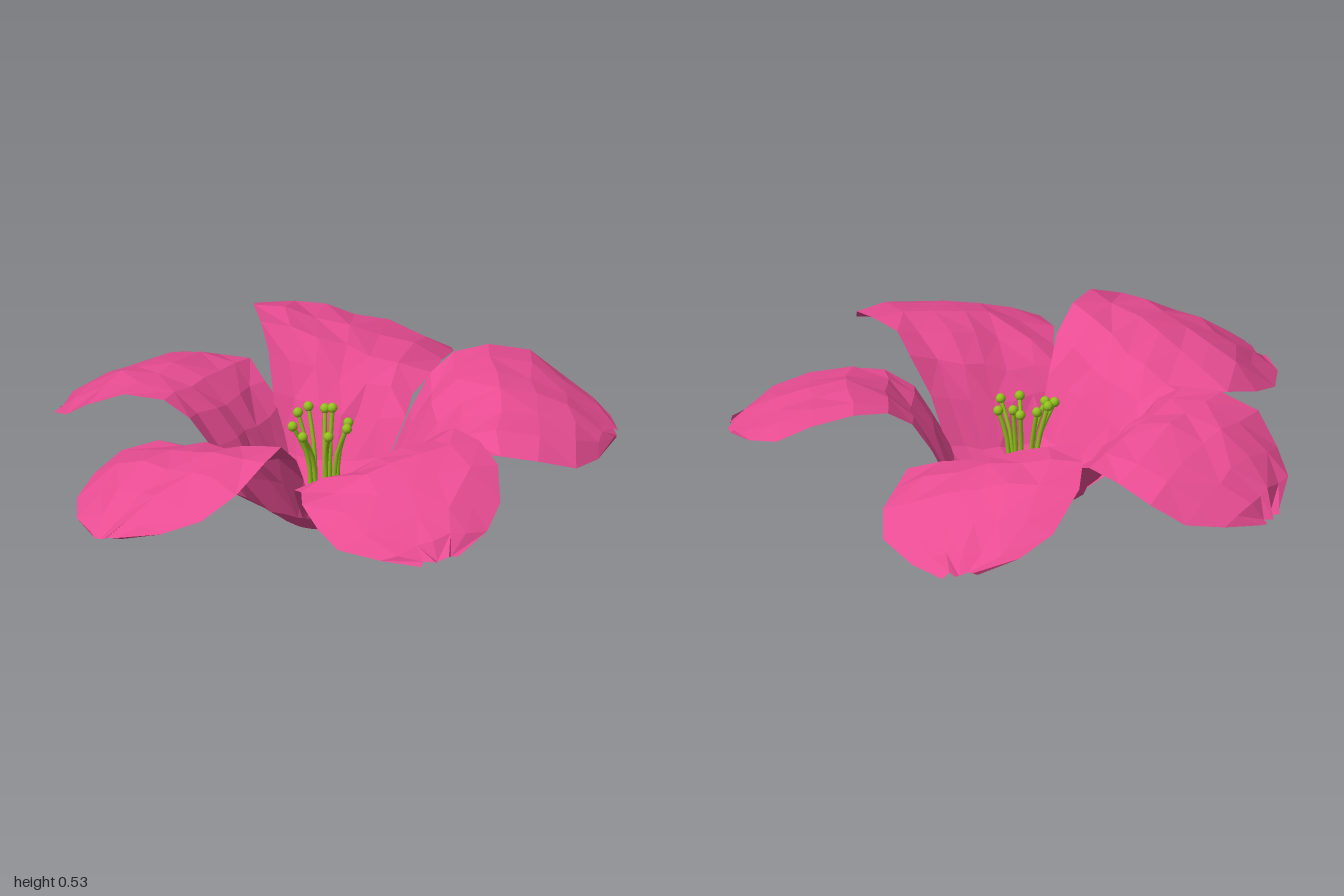
import * as THREE from 'three';

const PINK = new THREE.MeshStandardMaterial({ color: 0xe84c92, flatShading: true, side: THREE.DoubleSide });
const GREEN = new THREE.MeshStandardMaterial({ color: 0x93c01f });

// Petal stations from base to tip: [distance out, height, half width, tilt, droop]
const STATIONS = [
  [0.00, 0.01, 0.03, 0.00, 0.00],
  [0.14, 0.035, 0.12, 0.00, -0.02],
  [0.25, 0.12, 0.19, 0.01, -0.03],
  [0.33, 0.27, 0.235, 0.03, -0.03],
  [0.40, 0.375, 0.265, 0.06, -0.02],
  [0.50, 0.45, 0.30, 0.08, 0.00],
  [0.63, 0.485, 0.335, 0.08, 0.04],
  [0.77, 0.465, 0.35, 0.07, 0.06],
  [0.90, 0.405, 0.30, 0.05, 0.06],
  [1.00, 0.34, 0.20, 0.03, 0.03],
  [1.06, 0.29, 0.07, 0.01, 0.00],
];

// Each petal: heading in degrees (from +x towards +z), length scale, tilt scale, tip drop
const PETALS = [
  [-114, 0.97, 0.5, 0.06],
  [-45, 1.03, 1.0, 0.04],
  [33.5, 0.96, 0.8, -0.04],
  [104, 1.0, 0.9, 0.0],
  [171.5, 1.015, 1.0, 0.01],
];

// Small repeatable variation in -1..1
function wobble(n) {
  const s = Math.sin(n * 127.1 + 11.7) * 43758.5453;
  return 2 * (s - Math.floor(s)) - 1;
}

function petalGeometry(seed, length, tiltScale, tipDrop) {
  const across = 6, positions = [], index = [];
  STATIONS.forEach(([r, y, w, tilt, droop], i) => {
    const t = i / (STATIONS.length - 1);
    for (let j = 0; j <= across; j++) {
      const v = (j / across) * 2 - 1;
      const n = seed * 100 + i * 7 + j;
      const rough = Math.min(1, i / 3);
      positions.push(
        r * length + 0.014 * rough * wobble(n),
        y - tilt * tiltScale * v - droop * v * v - tipDrop * t ** 3
          + (i > 1 ? 0.011 * wobble(n + 0.37) : 0),
        w * v + 0.014 * rough * wobble(n + 0.71)
      );
      if (i && j) {
        const d = i * (across + 1) + j, c = d - 1, b = d - across - 1, a = b - 1;
        // Alternate the diagonals for an irregular faceted skin
        if (wobble(n + 0.19) > 0) index.push(a, c, b, b, c, d);
        else index.push(a, c, d, a, d, b);
      }
    }
  });
  const g = new THREE.BufferGeometry();
  g.setAttribute('position', new THREE.Float32BufferAttribute(positions, 3));
  g.setIndex(index);
  const flat = g.toNonIndexed();
  flat.computeVertexNormals();
  return flat;
}

function add(parent, name, geometry, material) {
  const mesh = new THREE.Mesh(geometry, material);
  mesh.name = name;
  parent.add(mesh);
  return mesh;
}

// Anther positions around the flower centre: [x, height, z]
const ANTHERS = [
  [-0.12, 0.39, -0.02], [-0.12, 0.37, 0.04], [-0.06, 0.41, -0.07],
  [0.00, 0.41, -0.09], [0.05, 0.40, -0.06], [0.06, 0.41, -0.03],
  [0.07, 0.38, 0.05], [0.02, 0.39, 0.11], [-0.06, 0.38, 0.11],
];

export function createModel() {
  const flower = new THREE.Group();
  flower.name = 'flower';
  const blossom = new THREE.Group();
  blossom.name = 'blossom';
  blossom.position.set(0.1, 0, -0.04);
  flower.add(blossom);

  // Five arching petals forming a cup
  PETALS.forEach(([heading, length, tilt, drop], k) => {
    const petal = add(blossom, 'petal', petalGeometry(k + 1, length, tilt, drop), PINK);
    petal.rotation.y = -THREE.MathUtils.degToRad(heading);
  });

  // Green heart at the bottom of the cup
  const heart = add(blossom, 'heart', new THREE.CylinderGeometry(0.06, 0.05, 0.05, 10), GREEN);
  heart.position.y = 0.045;

  // Ring of slender stamens with round anthers
  const stamens = new THREE.Group();
  stamens.name = 'stamens';
  blossom.add(stamens);
  ANTHERS.forEach(([x, y, z]) => {
    const a = Math.atan2(z, x);
    const foot = new THREE.Vector3(0.045 * Math.cos(a), 0.05, 0.045 * Math.sin(a));
    const tip = new THREE.Vector3(x, y, z);
    const bend = foot.clone().lerp(tip, 0.25).setY(0.27);
    const path = new THREE.CatmullRomCurve3([foot, bend, tip]);
    add(stamens, 'filament', new THREE.TubeGeometry(path, 6, 0.008, 6), GREEN);
    add(stamens, 'anther', new THREE.SphereGeometry(0.018, 10, 8), GREEN).position.copy(tip);
  });
  return flower;
}
